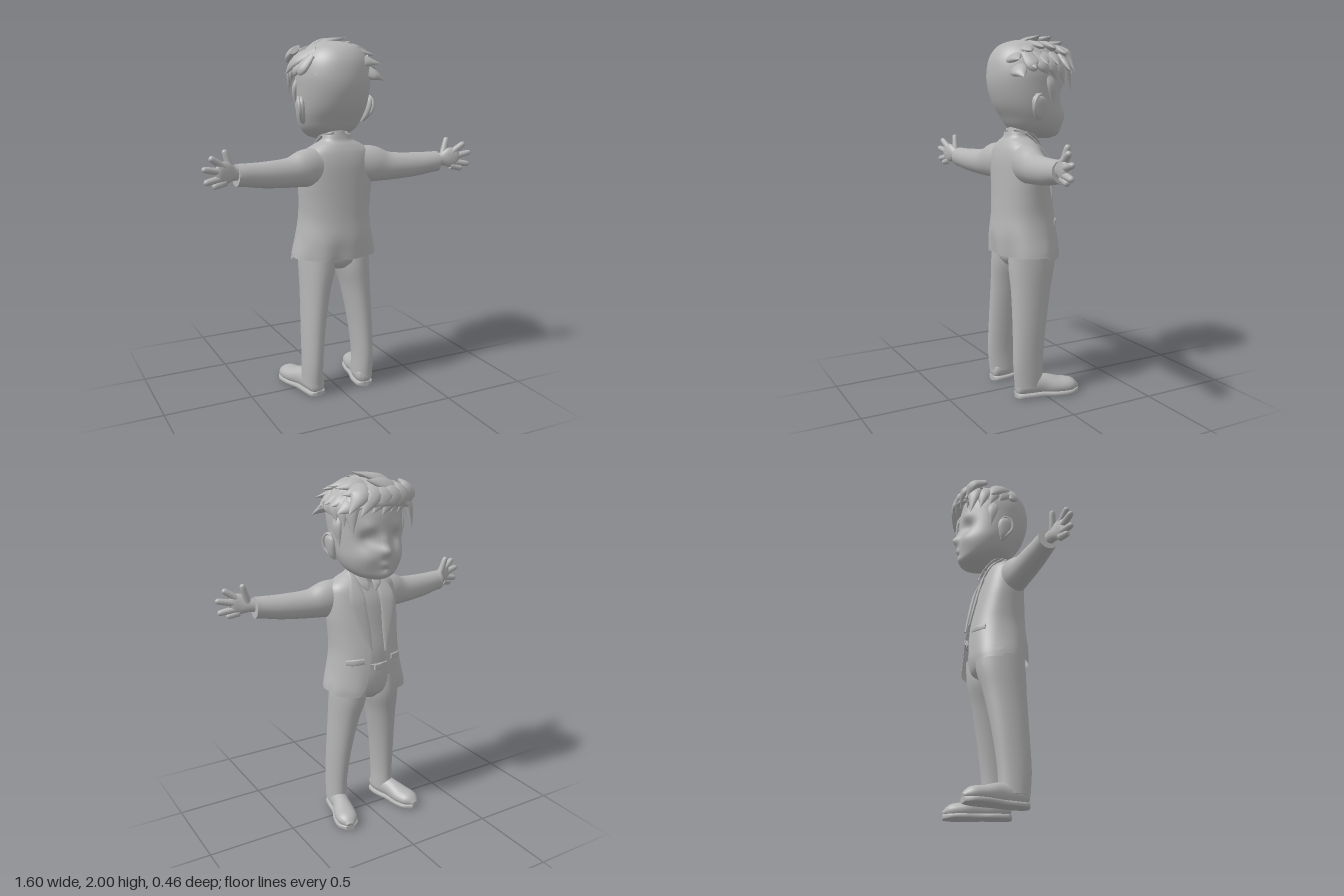
import * as THREE from 'three';

const V3 = (x, y, z) => new THREE.Vector3(x, y, z);
const X = V3(1, 0, 0), Y = V3(0, 1, 0);

// Lofts oval rings through stations [x, y, z, radiusAlongRef, otherRadius, frontGap].
function sweep(stations, { ref = X, axis = null, seg = 20, steps = 5, pow = 1, s = 1, open = false } = {}) {
  const path = new THREE.CatmullRomCurve3(stations.map(p => V3(p[0] * s, p[1], p[2])), false, 'catmullrom');
  const size = new THREE.CatmullRomCurve3(stations.map(p => V3(p[3], p[4], p[5] || 0)), false, 'catmullrom');
  const n = (stations.length - 1) * steps, pos = [], idx = [];
  const cols = open ? seg + 1 : seg;
  const bend = v => Math.sign(v) * Math.abs(v) ** pow;
  for (let i = 0; i <= n; i++) {
    const t = i / n, c = path.getPoint(t), r = size.getPoint(t);
    const T = axis ? axis.clone() : path.getTangent(t);
    const U = ref.clone().addScaledVector(T, -ref.dot(T)).normalize();
    const W = T.clone().cross(U);
    for (let j = 0; j < cols; j++) {
      const a = Math.PI / 2 + r.z + (2 * Math.PI - 2 * r.z) * j / seg;
      const p = c.clone().addScaledVector(U, bend(Math.cos(a)) * Math.max(r.x, 0.001))
        .addScaledVector(W, bend(Math.sin(a)) * Math.max(r.y, 0.001));
      pos.push(p.x, p.y, p.z);
    }
  }
  for (let i = 0; i < n; i++) for (let j = 0; j < seg; j++) {
    const k = open ? j + 1 : (j + 1) % seg;
    const a = i * cols + j, b = i * cols + k;
    idx.push(a, b, a + cols, b, b + cols, a + cols);
  }
  // flat end caps with their own vertices
  if (!open) for (const end of [0, n]) {
    const base = pos.length / 3;
    pos.push(...pos.slice(end * cols * 3, (end + 1) * cols * 3), ...path.getPoint(end / n).toArray());
    for (let j = 0; j < seg; j++) {
      const a = base + j, b = base + (j + 1) % seg;
      end ? idx.push(a, b, base + cols) : idx.push(b, a, base + cols);
    }
  }
  const g = new THREE.BufferGeometry();
  g.setAttribute('position', new THREE.Float32BufferAttribute(pos, 3));
  g.setIndex(idx);
  g.computeVertexNormals();
  return g;
}

// Applies a rule to every vertex.
function reshape(g, rule) {
  const p = g.attributes.position, v = V3();
  for (let i = 0; i < p.count; i++) {
    rule(v.fromBufferAttribute(p, i));
    p.setXYZ(i, v.x, v.y, v.z);
  }
  g.computeVertexNormals();
  return g;
}

export function createModel() {
  const model = new THREE.Group();
  const clay = new THREE.MeshStandardMaterial({ color: 0xb4b4b4, side: THREE.DoubleSide });
  clay.name = 'grey clay';
  const add = (name, g) => {
    const m = new THREE.Mesh(g, clay);
    m.name = name;
    model.add(m);
  };
  const upright = rows => rows.map(([y, z, rx, rz, gap]) => [0, y, z, rx, rz, gap]);

  // Head with sculpted face: [x, y, radius, push in z]
  const face = [
    [0, 1.605, 0.032, -0.04], [0, 1.66, 0.025, -0.012], [0.085, 1.665, 0.042, 0.03], [-0.085, 1.665, 0.042, 0.03],
    [0.085, 1.73, 0.035, -0.012], [-0.085, 1.73, 0.035, -0.012], [0.1, 1.57, 0.05, -0.012], [-0.1, 1.57, 0.05, -0.012],
    [0, 1.53, 0.02, -0.014], [0, 1.508, 0.014, 0.014], [0, 1.475, 0.03, -0.01],
  ];
  const head = sweep(upright([
    [1.44, -0.09, 0.03, 0.04], [1.46, -0.075, 0.1, 0.1], [1.5, -0.04, 0.15, 0.148], [1.56, -0.02, 0.18, 0.173],
    [1.63, 0.005, 0.194, 0.192], [1.72, 0.022, 0.202, 0.205], [1.8, 0.027, 0.204, 0.205], [1.88, 0.03, 0.185, 0.185],
    [1.94, 0.03, 0.138, 0.14], [1.968, 0.03, 0.07, 0.07], [1.975, 0.03, 0.005, 0.005],
  ]), { axis: Y, seg: 64, steps: 7 });
  add('head', reshape(head, v => {
    if (v.z > -0.03) return;
    const { x, y } = v;
    for (const [fx, fy, r, d] of face) v.z += d * Math.exp(-((x - fx) ** 2 + (y - fy) ** 2) / (r * r));
  }));
  add('neck', sweep([[0, 1.36, 0.08, 0.085, 0.075], [0, 1.44, 0.06, 0.07, 0.068], [0, 1.54, 0.03, 0.075, 0.075]], { axis: Y }));

  // Torso layers: shirt, trousers top, belt and open jacket
  add('shirt', sweep(upright([
    [0.9, 0.035, 0.19, 0.145], [1.02, 0.04, 0.19, 0.145], [1.15, 0.05, 0.19, 0.13], [1.3, 0.06, 0.19, 0.112],
    [1.39, 0.07, 0.16, 0.085], [1.46, 0.06, 0.075, 0.07],
  ]), { axis: Y, seg: 32 }));
  add('trouserSeat', sweep(upright([
    [0.735, 0.04, 0.06, 0.1], [0.78, 0.035, 0.15, 0.135], [0.86, 0.03, 0.195, 0.145], [0.95, 0.035, 0.19, 0.148],
  ]), { axis: Y, seg: 32 }));
  add('belt', sweep(upright([[0.925, 0.035, 0.192, 0.155], [0.955, 0.035, 0.192, 0.155]]), { axis: Y, seg: 32, steps: 1 }));
  add('beltBuckle', sweep([[-0.022, 0.94, -0.124, 0.018, 0.006], [0.022, 0.94, -0.124, 0.018, 0.006]], { ref: Y, seg: 12, pow: 0.4 }));
  const jacket = sweep(upright([
    [0.8, 0.03, 0.245, 0.17, 0.48], [0.84, 0.03, 0.238, 0.174, 0.33], [0.92, 0.035, 0.219, 0.174, 0.25],
    [1.02, 0.037, 0.204, 0.163, 0.2], [1.12, 0.045, 0.206, 0.15, 0.22], [1.22, 0.055, 0.213, 0.137, 0.27],
    [1.32, 0.065, 0.21, 0.123, 0.38], [1.385, 0.07, 0.195, 0.105, 0.5], [1.425, 0.075, 0.14, 0.082, 0.6],
    [1.45, 0.075, 0.09, 0.066, 0.7], [1.48, 0.072, 0.077, 0.062, 0.9],
  ]), { axis: Y, seg: 56, open: true, pow: 0.9 });
  // hem dips at the front and ripples gently
  add('jacket', reshape(jacket, v => {
    const low = Math.max(0, (0.95 - v.y) / 0.15);
    v.z += 0.007 * low * Math.sin(v.x * 38);
    if (v.z < 0) v.y -= 0.02 * low;
  }));

  for (const s of [1, -1]) {
    const side = s > 0 ? 'left' : 'right';
    const part = (name, stations, o = {}) => add(side + name, sweep(stations, { s, ...o }));

    // Jacket trim
    part('Lapel', [[0.045, 1.03, -0.13, 0.006, 0.005], [0.066, 1.15, -0.106, 0.028, 0.006], [0.088, 1.27, -0.078, 0.042, 0.006],
      [0.092, 1.34, -0.053, 0.046, 0.006], [0.083, 1.42, 0, 0.026, 0.007], [0.075, 1.475, 0.06, 0.016, 0.008]], { seg: 12 });
    part('ShirtCollar', [[0.022, 1.365, -0.062, 0.004, 0.004], [0.04, 1.41, -0.04, 0.028, 0.006], [0.068, 1.47, 0.02, 0.016, 0.007],
      [0.04, 1.49, 0.11, 0.01, 0.008]], { seg: 12 });
    part('PocketFlap', [[0.085, 0.985, -0.118, 0.016, 0.008], [0.13, 0.98, -0.1, 0.018, 0.009], [0.172, 0.975, -0.066, 0.016, 0.008]],
      { ref: Y, seg: 12, pow: 0.6 });

    // Sleeve, palm and fingers
    part('Sleeve', [[0.1, 1.315, 0.09, 0.1, 0.075], [0.2, 1.308, 0.1, 0.102, 0.083], [0.3, 1.292, 0.113, 0.08, 0.073],
      [0.45, 1.293, 0.132, 0.069, 0.065], [0.56, 1.302, 0.147, 0.06, 0.058], [0.605, 1.305, 0.15, 0.058, 0.055]], { ref: Y, seg: 28 });
    part('Palm', [[0.58, 1.31, 0.155, 0.034, 0.03], [0.625, 1.318, 0.168, 0.038, 0.028], [0.665, 1.325, 0.185, 0.056, 0.025],
      [0.705, 1.33, 0.197, 0.052, 0.02], [0.725, 1.33, 0.2, 0.025, 0.01]], { ref: Y });
    const tips = [[0.667, 1.44, 0.155], [0.757, 1.41, 0.205], [0.798, 1.355, 0.21], [0.79, 1.285, 0.21], [0.745, 1.262, 0.205]];
    tips.forEach(([x, y, z], i) => {
      const [bx, by, bz] = i ? [0.675, 1.375 - 0.024 * i, 0.19] : [0.635, 1.335, 0.165];
      const at = (t, r) => [bx + (x - bx) * t, by + (y - by) * t, bz + (z - bz) * t, r, r];
      part(i ? 'Finger' : 'Thumb', [at(0, 0.02), at(0.5, 0.018), at(0.85, 0.016), at(0.96, 0.011), at(1, 0.002)], { ref: V3(0, 0, 1), seg: 12, steps: 3 });
    });

    // Trouser leg and shoe
    part('TrouserLeg', [[0.16, 0.065, 0.085, 0.058, 0.083], [0.16, 0.2, 0.088, 0.056, 0.09], [0.148, 0.4, 0.073, 0.065, 0.101],
      [0.127, 0.6, 0.053, 0.08, 0.118], [0.107, 0.74, 0.037, 0.098, 0.137], [0.103, 0.87, 0.03, 0.095, 0.138]], { axis: Y, seg: 28 });
    const shoe = [[0.15, 0.06, 0.163, 0.01, 0.012], [0.152, 0.06, 0.145, 0.048, 0.043], [0.16, 0.065, 0.075, 0.06, 0.053],
      [0.178, 0.063, 0, 0.058, 0.05], [0.2, 0.05, -0.08, 0.048, 0.062], [0.218, 0.045, -0.15, 0.04, 0.056], [0.228, 0.035, -0.195, 0.012, 0.02]];
    add(side + 'Shoe', reshape(sweep(shoe, { s, ref: Y, seg: 24 }), v => { v.y = Math.max(v.y, 0.02); }));
    part('ShoeSole', shoe.map(([x, , z, , w]) => [x, 0.015, z, 0.015, w + 0.005]), { ref: Y, pow: 0.5 });

    // Ear with inner fold
    part('Ear', [[0.18, 1.54, 0.03, 0.01, 0.012], [0.192, 1.57, 0.038, 0.018, 0.03], [0.202, 1.62, 0.042, 0.02, 0.045],
      [0.205, 1.66, 0.045, 0.018, 0.038], [0.198, 1.685, 0.045, 0.006, 0.012]], { axis: Y });
    part('EarRim', [[0.2, 1.56, 0.045, 0.006, 0.006], [0.217, 1.6, 0.078, 0.009, 0.008], [0.222, 1.65, 0.075, 0.009, 0.008],
      [0.212, 1.68, 0.04, 0.009, 0.008], [0.205, 1.65, 0.005, 0.005, 0.005]], { seg: 10 });
  }

  // Hair locks: root, middle, tip, width
  const lock = (a, b, c, w) => {
    const out = V3(b[0], b[1] - 1.72, b[2] - 0.03).normalize();
    add('hairLock', sweep([[...a, w * 0.3, w * 0.7], [...b, w * 0.5, w], [...c, 0.001, 0.001]], { ref: out, seg: 12, steps: 6 }));
  };
  // crown rows sweeping towards the left side
  for (let i = 0; i < 5; i++) {
    const z = -0.15 + i * 0.07, drop = 0.012 * (i - 1.6) ** 2;
    lock([-0.16, 1.87 - drop, z], [-0.04, 1.955 - drop, z], [0.1, 1.998 - drop, z - 0.01], 0.055);
    lock([0, 1.93 - drop, z + 0.02], [0.11, 1.94 - drop, z + 0.02], [0.215, 1.925 - drop, z + 0.04], 0.05);
    lock([0.1, 1.89 - drop, z + 0.02], [0.18, 1.87 - drop, z + 0.02], [0.246, 1.835 - drop, z + 0.03], 0.045);
  }
  // fringe rolling over the forehead
  for (let i = 0; i < 6; i++) {
    const x = -0.16 + i * 0.06, f = Math.sqrt(1 - (x / 0.26) ** 2);
    lock([x - 0.02, 1.93, -0.09 * f], [x, 1.895, -0.195 * f], [x + 0.07, 1.79 + 0.012 * (i % 2), -0.205 * f], 0.052);
  }
  lock([-0.17, 1.84, -0.12], [0, 1.875, -0.2], [0.16, 1.83, -0.18], 0.045);
  // side locks over the temples
  for (const s of [1, -1]) for (let i = 0; i < 5; i++) {
    const z = -0.14 + i * 0.055, f = 1 - 0.25 * ((z - 0.03) / 0.2) ** 2;
    lock([s * 0.16 * f, 1.9, z + 0.02], [s * 0.212 * f, 1.83, z], [s * 0.222 * f, 1.70 + 0.028 * i, z - 0.025], 0.042);
  }
  // swept parting on the right and sideburns
  lock([-0.12, 1.93, 0.08], [-0.2, 1.87, 0.0], [-0.245, 1.8, -0.06], 0.055);
  for (const s of [1, -1]) lock([s * 0.19, 1.78, -0.02], [s * 0.2, 1.72, -0.035], [s * 0.192, 1.62, -0.045], 0.03);
  return model;
}
